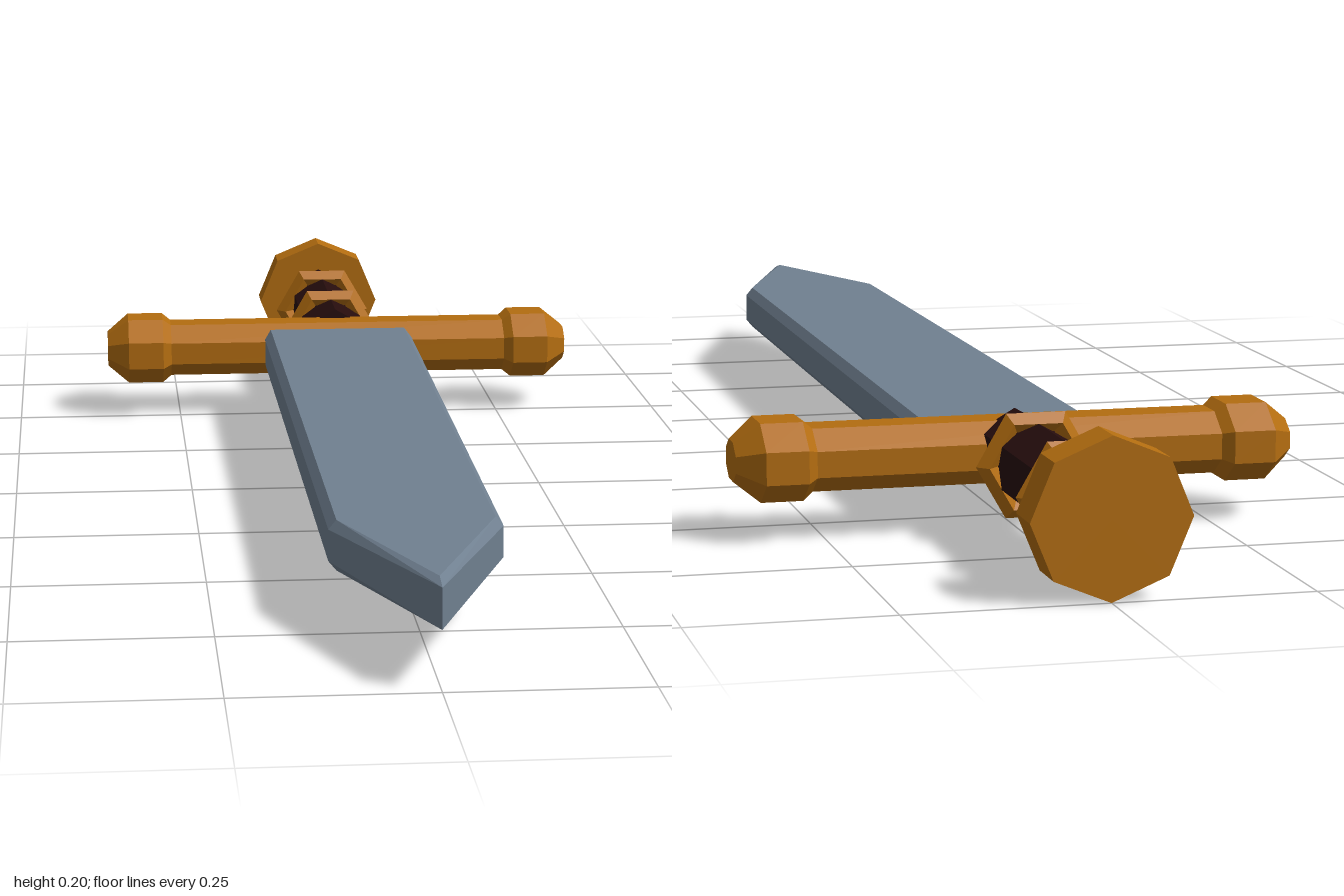
import * as THREE from 'three';
import { ConvexGeometry } from 'three/addons/geometries/ConvexGeometry.js';

const AXIS_Y = 0.1; // height of the sword's long axis
const GUARD_Z = -0.555;

function flatMaterial(name, color) {
  const m = new THREE.MeshStandardMaterial({ color, flatShading: true });
  m.name = name;
  return m;
}

export function createModel() {
  const gold = flatMaterial('gold', 0xb36d10);
  const steel = flatMaterial('steel', 0x708090);
  const leather = flatMaterial('dark leather', 0x260d0d);

  const sword = new THREE.Group();
  sword.name = 'sword';

  function add(name, geometry, material, z, parent = sword) {
    const mesh = new THREE.Mesh(geometry, material);
    mesh.name = name;
    mesh.position.set(0, AXIS_Y, z);
    parent.add(mesh);
    return mesh;
  }

  // Blade: bevelled slab, slightly tapered, coming to a point at the front
  const corners = [];
  function addOutline(inset, halfHeight, tipZ, tipHalfHeight) {
    for (const side of [-1, 1]) {
      for (const v of [-1, 1]) {
        corners.push(new THREE.Vector3(side * (0.116 - inset), v * halfHeight, -0.55));
        corners.push(new THREE.Vector3(side * (0.108 - inset), v * halfHeight, 0.7));
        corners.push(new THREE.Vector3(0, v * tipHalfHeight, tipZ));
      }
    }
  }
  addOutline(0, 0.02, 0.995, 0.025);
  addOutline(0.01, 0.032, 0.965, 0.031);
  add('blade', new ConvexGeometry(corners), steel, 0);

  // Crossguard: eight-sided bar with bevelled knobs, wider than it is tall
  const guard = new THREE.Group();
  guard.name = 'crossguard';
  sword.add(guard);
  const toCorner = 1 / Math.cos(Math.PI / 8);
  function guardPart(name, profile) {
    const points = profile.map(([r, x]) => new THREE.Vector2(r * toCorner, x));
    const geometry = new THREE.LatheGeometry(points, 8, Math.PI / 8);
    geometry.rotateZ(-Math.PI / 2);
    geometry.scale(1, 1, 1.4);
    return add(name, geometry, gold, GUARD_Z, guard);
  }
  guardPart('guardBar', [[0, -0.28], [0.04, -0.28], [0.04, 0.28], [0, 0.28]]);
  const knob = [[0, 0.263], [0.04, 0.263], [0.05, 0.276], [0.05, 0.33], [0.025, 0.362], [0, 0.362]];
  guardPart('leftKnob', knob);
  guardPart('rightKnob', knob.map(([r, x]) => [r, -x]).reverse());

  // Grip: six-sided handle with a corner on top
  const grip = new THREE.CylinderGeometry(0.054, 0.054, 0.39, 6);
  grip.rotateX(Math.PI / 2);
  add('grip', grip, leather, -0.765);

  // Grip rings: six-sided bands with a flat on top
  for (const [name, z] of [['frontRing', -0.67], ['backRing', -0.857]]) {
    add(name, new THREE.TorusGeometry(0.062, 0.014, 4, 6), gold, z);
  }

  // Pommel: eight-sided disc with a corner on top
  const pommel = new THREE.CylinderGeometry(0.098, 0.098, 0.06, 8);
  pommel.rotateX(Math.PI / 2);
  add('pommel', pommel, gold, -0.97);

  return sword;
}
